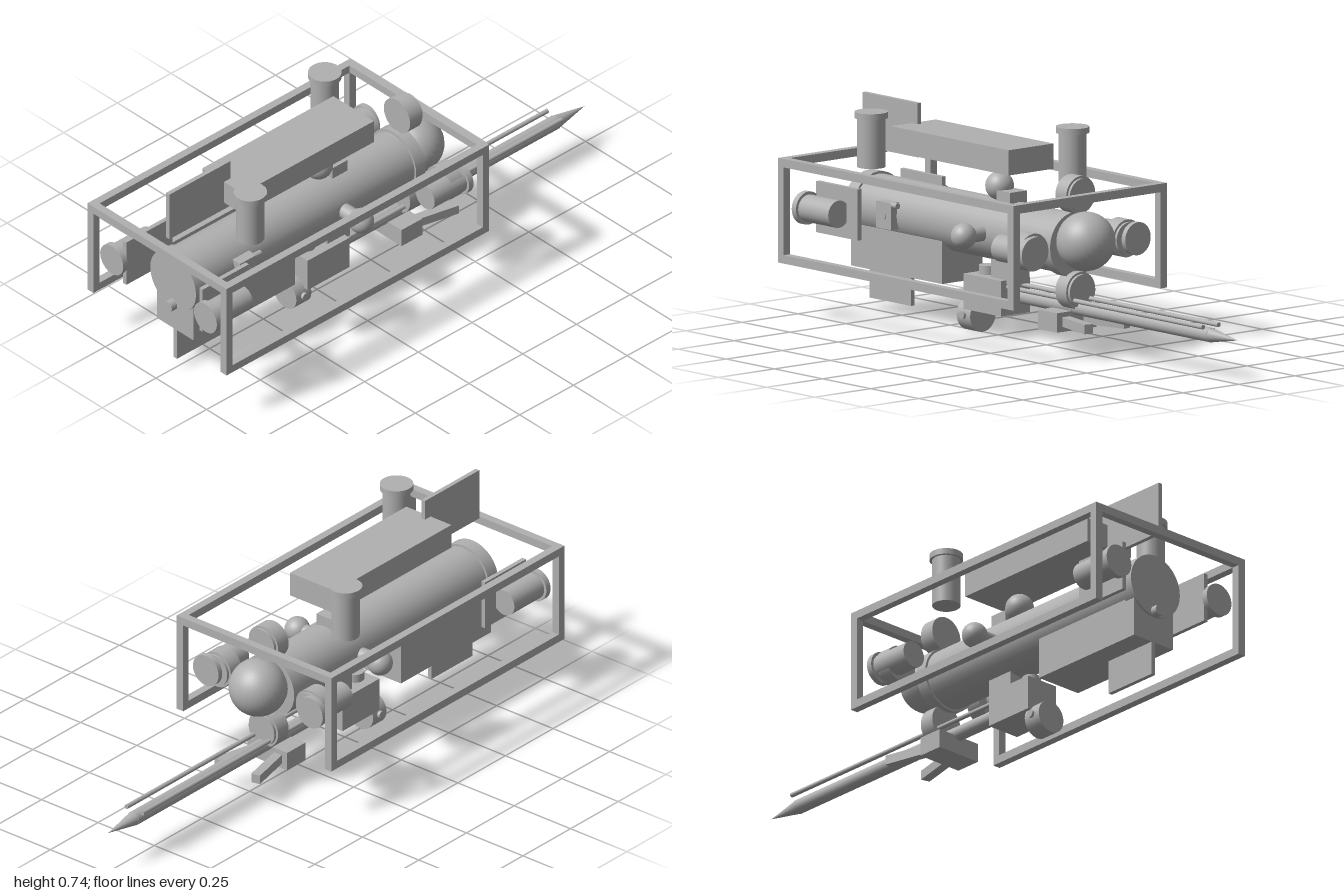
import * as THREE from 'three';

export function createModel() {
  const model = new THREE.Group();
  const grey = new THREE.MeshStandardMaterial({ color: 0xb0b0b0 });
  grey.name = 'plain grey';

  const add = (name, geometry, x, y, z) => {
    const mesh = new THREE.Mesh(geometry, grey);
    mesh.name = name;
    mesh.position.set(x, y, z);
    model.add(mesh);
    return mesh;
  };
  // box from its extents on each axis
  const box = (name, x0, x1, y0, y1, z0, z1) =>
    add(name, new THREE.BoxGeometry(x1 - x0, y1 - y0, z1 - z0), (x0 + x1) / 2, (y0 + y1) / 2, (z0 + z1) / 2);
  // cylinders along each axis, from a to b
  const rodX = (name, a, b, y, z, r, rEnd = r) =>
    add(name, new THREE.CylinderGeometry(rEnd, r, b - a, 32).rotateZ(-Math.PI / 2), (a + b) / 2, y, z);
  const rodY = (name, x, a, b, z, r) =>
    add(name, new THREE.CylinderGeometry(r, r, b - a, 32), x, (a + b) / 2, z);
  const rodZ = (name, x, y, a, b, r) =>
    add(name, new THREE.CylinderGeometry(r, r, b - a, 32).rotateX(Math.PI / 2), x, y, (a + b) / 2);
  const ball = (name, x, y, z, r) => add(name, new THREE.SphereGeometry(r, 32, 20), x, y, z);

  // pressure hull with end rings and round dome
  const axis = 0.366;
  rodX('hull', -0.915, 0.145, axis, 0, 0.105);
  rodX('sternRing', -0.92, -0.87, axis, 0, 0.113);
  rodX('bowRing', 0.105, 0.15, axis, 0, 0.113);
  ball('bowDome', 0.205, 0.384, 0, 0.101);
  rodX('sternKnob', -0.945, -0.915, 0.27, 0, 0.02);

  // protective frame
  const t = 0.029, W = 0.343, x0 = -0.995, x1 = 0.227;
  for (const s of [-1, 1]) {
    const za = s > 0 ? W - t : -W, zb = za + t;
    box('topRail', x0, x1, 0.519, 0.548, za, zb);
    box('bottomRail', x0, x1, 0.188, 0.217, za, zb);
    for (const x of [x0, x1 - t]) box('framePost', x, x + t, 0.2, 0.53, za, zb);
  }
  for (const x of [x0, x1 - t]) box('frameCrossbar', x, x + t, 0.519, 0.548, -W + t, W - t);

  // buoyancy block, keel block and fins
  box('buoyancyBlock', -0.69, -0.08, 0.583, 0.67, -0.1, 0.1);
  box('keelBlock', -0.91, -0.437, 0.16, 0.306, -0.09, 0.09);
  box('upperFin', -0.945, -0.66, 0.556, 0.742, -0.008, 0.008);
  box('lowerFin', -0.91, -0.695, 0.04, 0.17, -0.008, 0.008);

  // upright thrusters, set diagonally
  for (const [x, z] of [[-0.717, 0.166], [-0.057, -0.166]]) {
    rodY('verticalThruster', x, 0.535, 0.706, z, 0.048);
    rodY('verticalThrusterCap', x, 0.704, 0.725, z, 0.057);
  }

  // side fins, thrusters and lamps
  for (const s of [-1, 1]) {
    box('sideFin', -0.968, -0.752, 0.279, 0.455, s * 0.188 - 0.008, s * 0.188 + 0.008);
    rodX('rearThruster', -0.968, -0.81, axis, s * 0.231, 0.047);
    rodX('rearThrusterCap', -0.988, -0.966, axis, s * 0.231, 0.057);
    rodX('frontThruster', 0.035, 0.188, axis, s * 0.231, 0.047);
    rodX('frontThrusterCap', 0.186, 0.207, axis, s * 0.231, 0.057);
    rodZ('sideLampArm', -0.218, axis, s > 0 ? 0.09 : -0.17, s > 0 ? 0.17 : -0.09, 0.027);
    ball('sideLamp', -0.217, axis, s * 0.183, 0.044);
  }

  // ring of four drums round the bow
  for (const [y, z] of [[0.54, 0], [0.21, 0], [axis, 0.209], [axis, -0.209]]) {
    rodX('bowDrum', 0.122, 0.178, y, z, 0.065);
    rodX('bowDrumFace', 0.176, 0.188, y, z, 0.057);
  }

  // top lamp on its mount
  box('topLampMount', -0.215, -0.145, 0.46, 0.507, -0.038, 0.038);
  ball('topLamp', -0.243, 0.515, 0, 0.049);

  // small instrument box on one side
  box('instrumentBox', -0.732, -0.656, 0.32, 0.412, 0.09, 0.131);
  rodZ('instrumentDial', -0.694, axis, 0.13, 0.134, 0.014);
  rodX('instrumentPlug', -0.66, -0.63, 0.405, 0.122, 0.01);

  // launcher under the hull
  box('launcherNeck', -0.24, -0.135, 0.19, 0.28, -0.04, 0.04);
  box('launcherBody', -0.355, -0.16, 0.083, 0.205, -0.065, 0.065);
  rodY('launcherStub', -0.302, 0.2, 0.235, 0, 0.032);
  rodX('spearShaft', -0.17, 0.86, 0.15, 0, 0.025);
  add('spearTip', new THREE.ConeGeometry(0.025, 0.14, 32).rotateZ(-Math.PI / 2), 0.925, 0.15, 0);
  for (const s of [-1, 1]) rodX('guideRod', -0.17, 0.855, 0.181, s * 0.035, 0.008);

  // swivel camera behind the launcher
  rodX('swivelCamera', -0.4, -0.33, 0.057, 0, 0.057);
  rodZ('swivelPin', -0.365, 0.06, -0.066, 0.066, 0.013);

  // tool carrier with two splayed arms
  box('toolCarrier', 0.06, 0.157, 0.073, 0.14, -0.088, 0.088);
  for (const s of [-1, 1]) {
    const arm = add('toolArm', new THREE.BoxGeometry(0.22, 0.033, 0.033), 0.212, 0.107, s * 0.06);
    arm.rotation.y = -s * 0.23;
  }

  return model;
}
